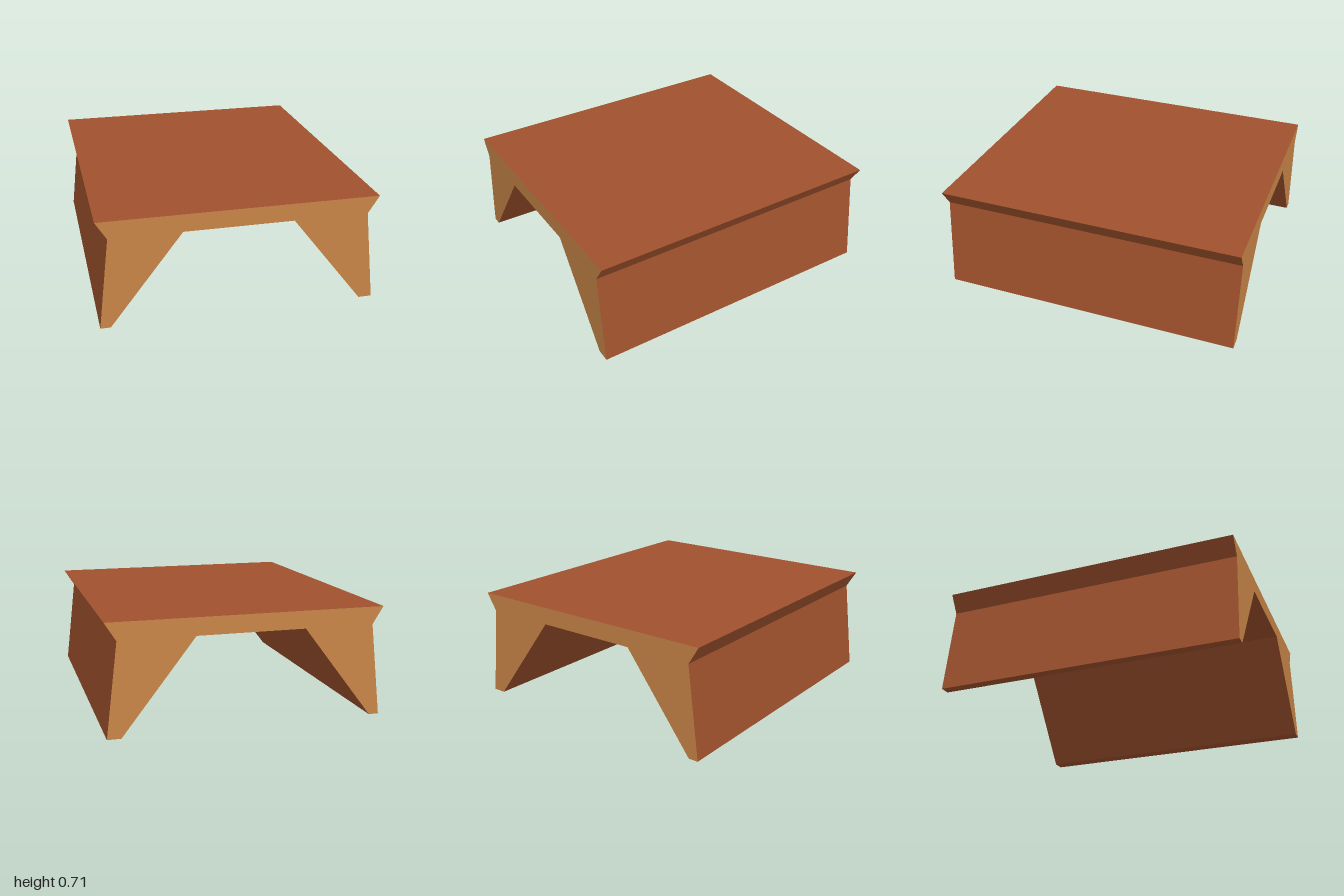
import * as THREE from 'three';

export function createModel() {
  const group = new THREE.Group();
  group.name = 'bench';

  const endGrain = new THREE.MeshStandardMaterial({ color: 0xc88548 });
  endGrain.name = 'light end wood';
  const board = new THREE.MeshStandardMaterial({ color: 0xa0522d });
  board.name = 'reddish brown wood';

  // Cross-section: flared top slab on two tapering legs, counter-clockwise
  const profile = [
    [-0.885, 0], [-0.82, 0], [-0.363, 0.597], [0.334, 0.597], [0.798, 0], [0.885, 0],
    [0.813, 0.597], [0.885, 0.71], [-0.885, 0.71], [-0.815, 0.597],
  ];
  const shape = new THREE.Shape(profile.map(([x, y]) => new THREE.Vector2(x, y)));

  // Run the section from back to front; the two ends take the lighter wood
  const depth = 2;
  const geometry = new THREE.ExtrudeGeometry(shape, { depth, bevelEnabled: false });
  geometry.translate(0, 0, -depth / 2);
  const body = new THREE.Mesh(geometry, [endGrain, board]);
  body.name = 'topAndLegs';
  group.add(body);

  return group;
}
